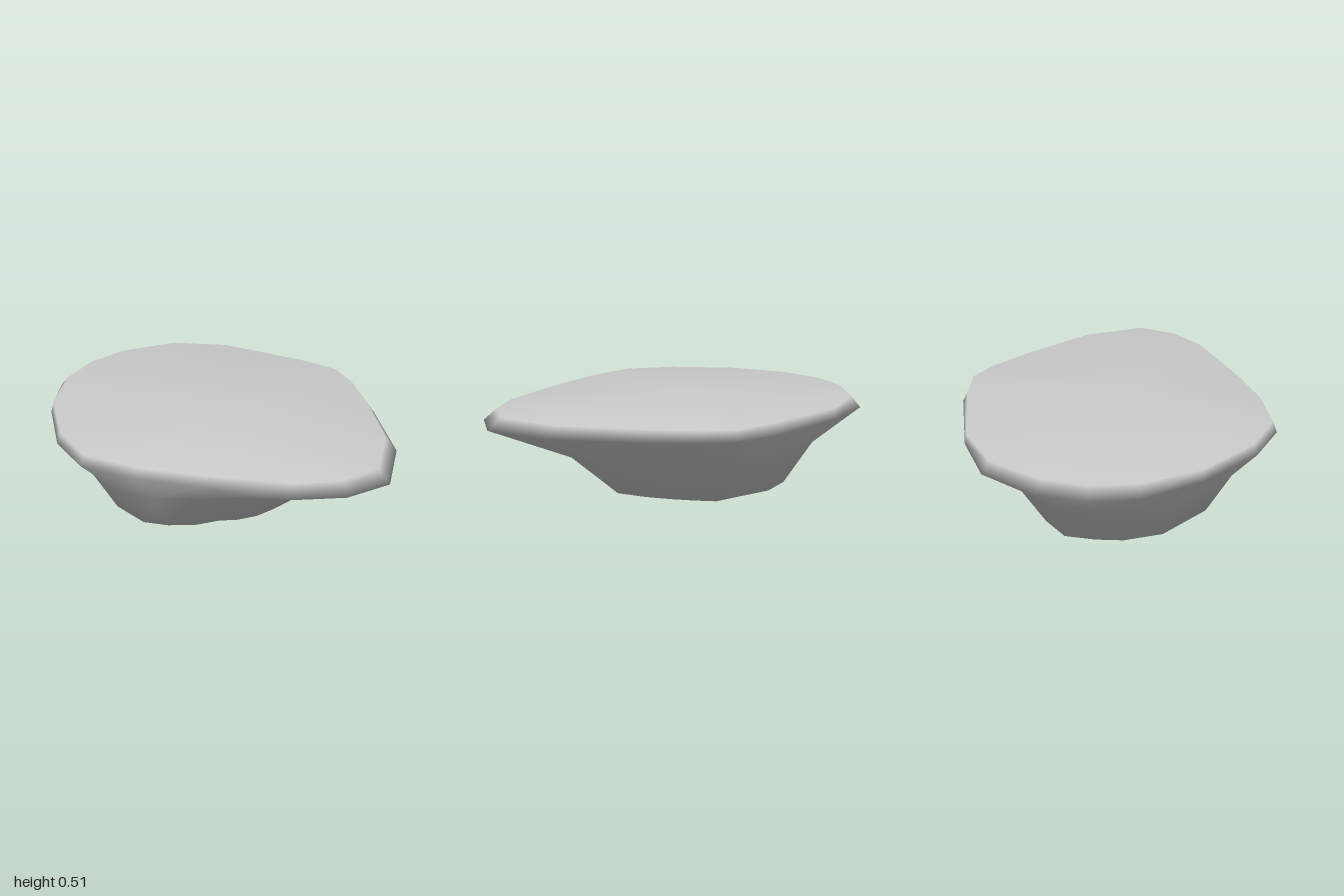
import * as THREE from 'three';

// Outlines as [x, z] pairs, clockwise seen from above, starting at the back.
const topEdge = [
  [0.03, -0.95], [0.32, -0.87], [0.54, -0.66], [0.75, -0.22], [0.81, -0.03], [0.77, 0.14], [0.65, 0.39],
  [0.46, 0.72], [0.21, 0.93], [0, 0.91], [-0.19, 0.8], [-0.29, 0.69], [-0.49, 0.47], [-0.68, 0.23],
  [-0.81, -0.02], [-0.78, -0.29], [-0.63, -0.61], [-0.41, -0.83], [-0.2, -0.93]];
const rim = [
  [0.03, -1], [0.34, -0.91], [0.55, -0.66], [0.78, -0.22], [0.83, -0.03], [0.79, 0.15], [0.69, 0.4],
  [0.48, 0.78], [0.22, 1], [-0.02, 0.97], [-0.24, 0.83], [-0.37, 0.69], [-0.5, 0.48], [-0.69, 0.24],
  [-0.83, -0.02], [-0.8, -0.29], [-0.64, -0.62], [-0.42, -0.88], [-0.21, -0.98]];
const waist = [
  [0.03, -0.78], [0.24, -0.7], [0.44, -0.52], [0.59, -0.25], [0.61, -0.08], [0.58, 0.07], [0.48, 0.26],
  [0.36, 0.45], [0.17, 0.58], [-0.02, 0.56], [-0.2, 0.46], [-0.3, 0.36], [-0.42, 0.3], [-0.56, 0.18],
  [-0.65, 0.04], [-0.66, -0.2], [-0.53, -0.5], [-0.35, -0.66], [-0.17, -0.75]];
const foot = [
  [0.04, -0.66], [0.18, -0.56], [0.3, -0.42], [0.36, -0.2], [0.39, -0.1], [0.34, 0], [0.28, 0.1],
  [0.2, 0.21], [0.09, 0.32], [-0.02, 0.32], [-0.12, 0.29], [-0.2, 0.24], [-0.32, 0.2], [-0.43, 0.12],
  [-0.51, 0.02], [-0.53, -0.19], [-0.4, -0.48], [-0.24, -0.6], [-0.11, -0.64]];

// Skins a stack of rings, listed from top to bottom, and closes both ends with a fan.
function loft(rings, topCentre, bottomCentre) {
  const n = rings[0].outline.length;
  const positions = [];
  const index = [];
  for (const { outline, y } of rings) for (const [x, z] of outline) positions.push(x, y, z);
  const top = rings.length * n;
  const bottom = top + 1;
  positions.push(...topCentre, ...bottomCentre);

  for (let i = 0; i < n; i++) {
    const j = (i + 1) % n;
    index.push(top, j, i);
    for (let r = 0; r < rings.length - 1; r++) {
      const u = r * n;
      const l = u + n;
      index.push(l + i, u + i, l + j, u + i, u + j, l + j);
    }
    const last = (rings.length - 1) * n;
    index.push(bottom, last + i, last + j);
  }

  const geometry = new THREE.BufferGeometry();
  geometry.setAttribute('position', new THREE.Float32BufferAttribute(positions, 3));
  geometry.setIndex(index);
  geometry.computeVertexNormals();
  return geometry;
}

export function createModel() {
  const group = new THREE.Group();
  group.name = 'flatToppedRock';

  // One smooth boulder: gently domed top, overhanging rim, tapering body
  const rock = new THREE.Mesh(
    loft(
      [
        { outline: topEdge, y: 0.475 },
        { outline: rim, y: 0.42 },
        { outline: waist, y: 0.24 },
        { outline: foot, y: 0.01 },
      ],
      [0, 0.51, 0],
      [-0.07, 0, -0.17]
    ),
    new THREE.MeshStandardMaterial({ color: 0xcccccc })
  );
  rock.name = 'rock';
  group.add(rock);
  return group;
}
